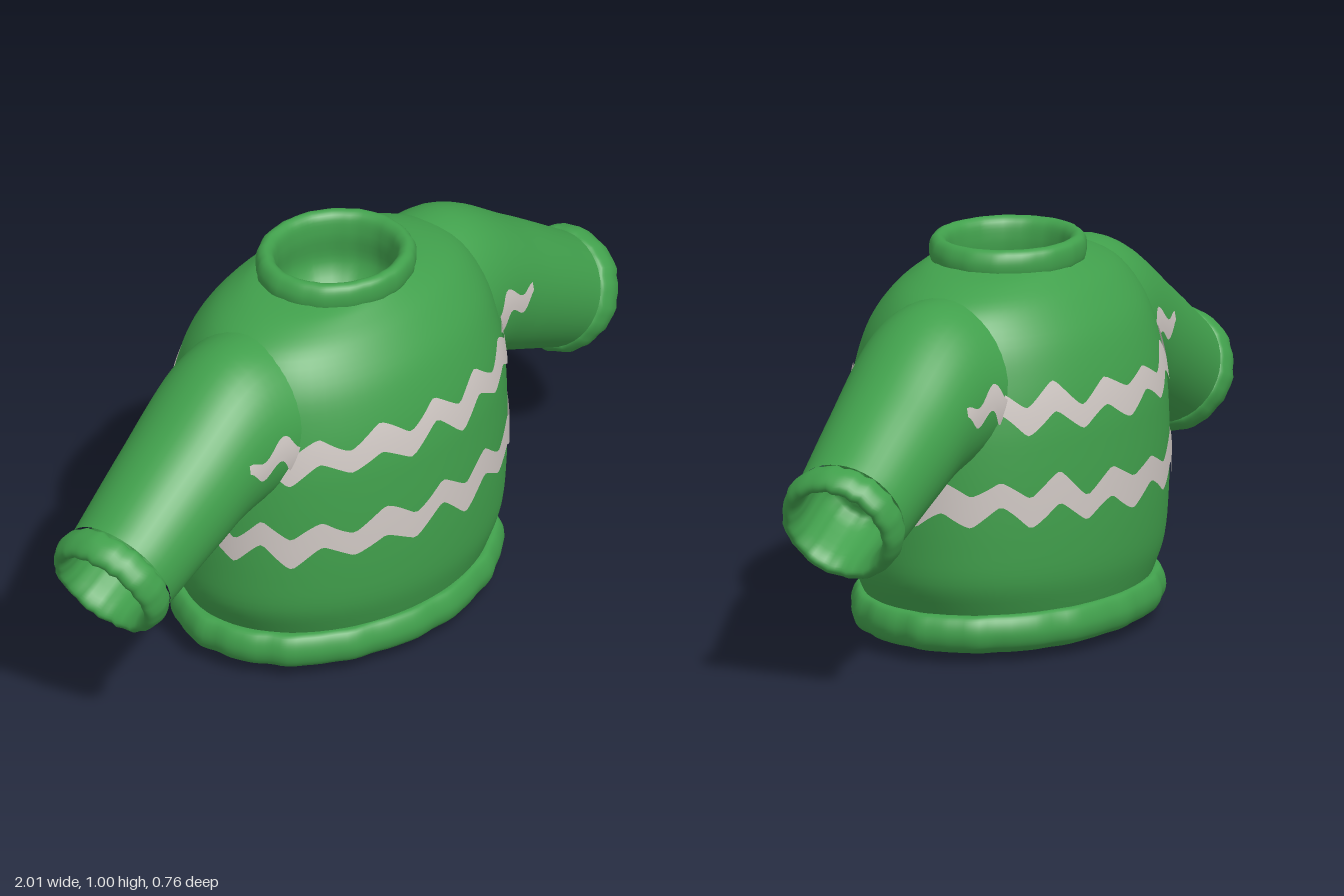
import * as THREE from 'three';

const green = new THREE.MeshStandardMaterial({ color: 0x41a04c });
green.name = 'green wool';
const cream = new THREE.MeshStandardMaterial({ color: 0xd0c8c4, side: THREE.DoubleSide });
cream.name = 'pale stripe';

// Skin a grid of points: point(i, j) for rows x cols, optionally closed around
function skin(name, material, rows, cols, closed, point) {
  const pos = [], index = [];
  const n = closed ? cols : cols + 1;
  for (let i = 0; i <= rows; i++) for (let j = 0; j < n; j++) pos.push(...point(i, j));
  for (let i = 0; i < rows; i++) {
    for (let j = 0; j < cols; j++) {
      const k = (j + 1) % n;
      const a = i * n + j, b = i * n + k, c = (i + 1) * n + k, d = (i + 1) * n + j;
      index.push(a, b, c, a, c, d);
    }
  }
  const g = new THREE.BufferGeometry();
  g.setAttribute('position', new THREE.Float32BufferAttribute(pos, 3));
  g.setIndex(index);
  g.computeVertexNormals();
  const mesh = new THREE.Mesh(g, material);
  mesh.name = name;
  return mesh;
}

const curve = (pts) => new THREE.CatmullRomCurve3(pts.map((p) => new THREE.Vector3(...p)));
const TAU = Math.PI * 2;

// Uneven knitted gathers around a band
const gather = (a) => 0.5 * Math.sin(17 * a) + 0.3 * Math.sin(29 * a + 1) + 0.3 * Math.sin(7 * a + 2);

// Stack of elliptical rings, each [radiusX, y, radiusZ], with optional gathers
function ovalStack(name, profile, rows, cols, ruffle = 0) {
  const c = curve(profile);
  return skin(name, green, rows, cols, true, (i, j) => {
    const p = c.getPoint(i / rows), a = (j / cols) * TAU;
    const w = 1 + ruffle * gather(a) * Math.min(1, p.x * 5);
    return [p.x * w * Math.sin(a), p.y, p.z * w * Math.cos(a)];
  });
}

// Torso profile
const torso = [
  [0.43, 0.09, 0.325], [0.455, 0.13, 0.34], [0.49, 0.2, 0.36], [0.5, 0.3, 0.37], [0.503, 0.42, 0.373],
  [0.502, 0.52, 0.371], [0.497, 0.6, 0.366], [0.482, 0.7, 0.348], [0.455, 0.8, 0.312],
  [0.4, 0.88, 0.255], [0.3, 0.928, 0.2], [0.19, 0.95, 0.17],
];
const torsoSamples = curve(torso).getPoints(120);
function torsoRadii(y) {
  const k = Math.max(1, torsoSamples.findIndex((p) => p.y >= y));
  const a = torsoSamples[k - 1], b = torsoSamples[k];
  return a.clone().lerp(b, (y - a.y) / (b.y - a.y));
}

// Wavy stripe wrapped round the torso
function stripe(name, mid, half, phase) {
  const cols = 240, rows = 6;
  return skin(name, cream, rows, cols, true, (i, j) => {
    const a = (j / cols) * TAU;
    const wave = Math.asin(0.96 * Math.cos(17 * a + phase)) / 1.3;
    const y = mid + 0.025 * wave * (1 + 0.25 * Math.sin(5 * a + phase)) + 0.006 * Math.sin(3 * a + phase)
      + half * (2 * i / rows - 1) * (1 + 0.15 * Math.sin(11 * a));
    const r = torsoRadii(y);
    return [(r.x + 0.005) * Math.sin(a), y, (r.z + 0.005) * Math.cos(a)];
  });
}

// Sleeve surface: upper edge (x, y, half depth) and lower edge, t along, a around
const upper = curve([[0.24, 0.9, 0.215], [0.455, 0.9, 0.185], [0.7, 0.755, 0.168], [0.925, 0.605, 0.15]]);
const lower = curve([[0.4, 0.5, 0], [0.53, 0.452, 0], [0.63, 0.41, 0], [0.8, 0.335, 0]]);
function sleevePoint(t, a, grow = 0) {
  const u = upper.getPoint(t), l = lower.getPoint(t);
  const hx = (u.x - l.x) / 2, hy = (u.y - l.y) / 2;
  const s = Math.cos(a) * (1 + grow / Math.hypot(hx, hy));
  return [(u.x + l.x) / 2 + hx * s, (u.y + l.y) / 2 + hy * s, (u.z + grow) * Math.sin(a)];
}

// Cuff profile: [distance along the sleeve, radius scale], rolled into an open mouth
const cuffProfile = curve([
  [-0.02, 0.94, 0], [-0.008, 1.03, 0], [0.022, 1.07, 0], [0.05, 1.03, 0], [0.066, 0.93, 0],
  [0.058, 0.82, 0], [0.02, 0.76, 0], [-0.1, 0.78, 0], [-0.13, 0.5, 0], [-0.135, 0, 0],
]);

function makeSleeve(name) {
  const g = new THREE.Group();
  g.name = name;
  g.add(skin('sleeve', green, 24, 40, true, (i, j) => sleevePoint(i / 24, (j / 40) * TAU)));
  g.add(skin('cuff', green, 36, 48, true, (i, j) => {
    const p = cuffProfile.getPoint(i / 36), a = (j / 48) * TAU;
    const r = p.y * (1 + 0.02 * gather(a)), c = Math.cos(a) * r;
    const s = p.x + 0.004 * gather(a + 1);
    return [0.88 + 0.9 * s + 0.065 * c, 0.462 - 0.43 * s + 0.135 * c, 0.15 * r * Math.sin(a)];
  }));
  // Stripe ends running on to the front and back of the sleeve
  for (const side of [1, -1]) {
    g.add(skin('sleeveStripe', cream, 16, 4, false, (i, j) => {
      const f = i / 16, t = 0.15 + 0.33 * f;
      const mid = 1.68 - 0.22 * f + 0.09 * Math.cos(f * 9);
      const half = 0.15 * (1 - 0.65 * f * f * f);
      return sleevePoint(t, side * (mid + half * (j / 2 - 1)), 0.005);
    }));
  }
  return g;
}

export function createModel() {
  const model = new THREE.Group();
  model.name = 'sweater';

  model.add(ovalStack('body', torso, 48, 72));
  model.add(stripe('upperStripe', 0.645, 0.034, 1.7));
  model.add(stripe('lowerStripe', 0.412, 0.037, 1.5));

  // Gathered hem, closed underneath
  model.add(ovalStack('hem', [
    [0, 0.003, 0], [0.18, 0.002, 0.14], [0.33, 0.002, 0.25], [0.43, 0.02, 0.315], [0.475, 0.04, 0.352],
    [0.487, 0.07, 0.363], [0.482, 0.1, 0.358], [0.465, 0.12, 0.345], [0.42, 0.115, 0.31],
  ], 36, 120, 0.013));

  // Rolled collar with the hollow of the neck
  model.add(ovalStack('collar', [
    [0.19, 0.925, 0.172], [0.21, 0.935, 0.187], [0.214, 0.965, 0.192], [0.203, 0.99, 0.187], [0.186, 0.999, 0.17],
    [0.166, 0.985, 0.152], [0.157, 0.94, 0.146], [0.16, 0.86, 0.15], [0.11, 0.79, 0.1], [0, 0.77, 0],
  ], 40, 64, 0.012));

  // Sleeves are symmetric front to back, so the second is a half turn
  model.add(makeSleeve('leftSleeve'));
  const right = makeSleeve('rightSleeve');
  right.rotation.y = Math.PI;
  model.add(right);

  return model;
}
